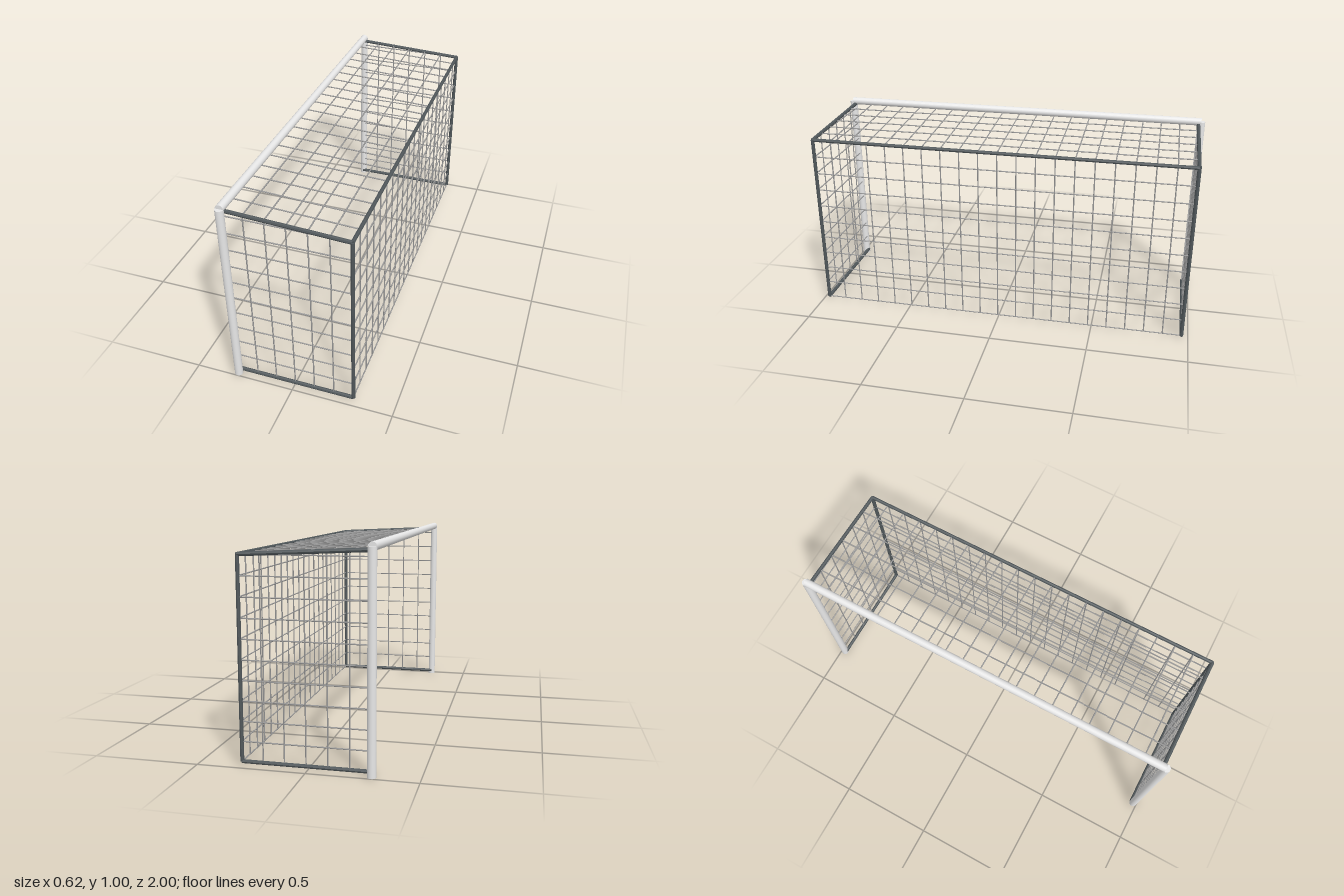
import * as THREE from 'three';
import { mergeGeometries } from 'three/addons/utils/BufferGeometryUtils.js';

const FRONT = -0.29, BACK = 0.299, SIDE = 0.966;
const BASE = 0.02, BACK_TOP = 0.938, FRONT_TOP = 0.966;
const POST_R = 0.02, FRAME_R = 0.0095, CORD_R = 0.0032;

// Round bar between two points
function bar(a, b, radius, sides) {
  const start = new THREE.Vector3(...a), end = new THREE.Vector3(...b);
  const dir = end.clone().sub(start);
  const geo = new THREE.CylinderGeometry(radius, radius, dir.length(), sides);
  geo.applyQuaternion(new THREE.Quaternion().setFromUnitVectors(
    new THREE.Vector3(0, 1, 0), dir.normalize()));
  const mid = start.add(end).multiplyScalar(0.5);
  return geo.translate(mid.x, mid.y, mid.z);
}

// Height of the sloping roof at a given depth
const roof = (x) => THREE.MathUtils.mapLinear(x, FRONT, BACK, FRONT_TOP, BACK_TOP);

export function createModel() {
  const white = new THREE.MeshStandardMaterial({ name: 'postWhite', color: 0xebebeb });
  const dark = new THREE.MeshStandardMaterial({ name: 'frameDark', color: 0x50575a, flatShading: true });
  const grey = new THREE.MeshStandardMaterial({ name: 'netGrey', color: 0x9c9c9c });
  const group = new THREE.Group();
  group.name = 'goal';
  const add = (name, geo, mat) => {
    const mesh = new THREE.Mesh(geo, mat);
    mesh.name = name;
    group.add(mesh);
  };

  // Front posts and crossbar
  add('crossbar', bar([FRONT, 0.98, -0.98], [FRONT, 0.98, 0.98], POST_R, 20), white);
  for (const s of [-1, 1]) {
    const side = s > 0 ? 'left' : 'right';
    add(side + 'Post', bar([FRONT, 0, s * 0.98], [FRONT, 0.98, s * 0.98], POST_R, 20), white);

    // Rear support frame
    const z = s * SIDE;
    add(side + 'RearPost', bar([BACK, BASE, z], [BACK, BACK_TOP, z], FRAME_R, 8), dark);
    add(side + 'RoofRail', bar([FRONT, FRONT_TOP, z], [BACK, BACK_TOP, z], FRAME_R, 8), dark);
    add(side + 'GroundRail', bar([FRONT, BASE, z], [BACK, BASE, z], FRAME_R, 8), dark);
  }
  add('rearTopRail', bar([BACK, BACK_TOP, -SIDE], [BACK, BACK_TOP, SIDE], FRAME_R, 8), dark);

  // Net cords, gathered by panel
  const roofNet = [], backNet = [], leftNet = [], rightNet = [];
  const cord = (list, a, b) => list.push(bar(a, b, CORD_R, 6));

  // Cords spaced across the depth
  for (let i = 1; i < 6; i++) {
    const x = THREE.MathUtils.lerp(FRONT, BACK, i / 6);
    cord(roofNet, [x, roof(x), -SIDE], [x, roof(x), SIDE]);
    cord(leftNet, [x, BASE, SIDE], [x, roof(x), SIDE]);
    cord(rightNet, [x, BASE, -SIDE], [x, roof(x), -SIDE]);
  }
  // Cords spaced up the height
  for (let i = 0; i <= 10; i++) {
    const y = THREE.MathUtils.lerp(BASE, BACK_TOP, i / 10);
    cord(backNet, [BACK, y, -SIDE], [BACK, y, SIDE]);
    cord(leftNet, [FRONT, y, SIDE], [BACK, y, SIDE]);
    cord(rightNet, [FRONT, y, -SIDE], [BACK, y, -SIDE]);
  }
  // Cords spaced along the width
  for (let i = 1; i < 20; i++) {
    const z = THREE.MathUtils.lerp(-SIDE, SIDE, i / 20);
    cord(roofNet, [FRONT, FRONT_TOP, z], [BACK, BACK_TOP, z]);
    cord(backNet, [BACK, BASE, z], [BACK, BACK_TOP, z]);
  }
  add('roofNet', mergeGeometries(roofNet), grey);
  add('backNet', mergeGeometries(backNet), grey);
  add('leftNet', mergeGeometries(leftNet), grey);
  add('rightNet', mergeGeometries(rightNet), grey);

  return group;
}
